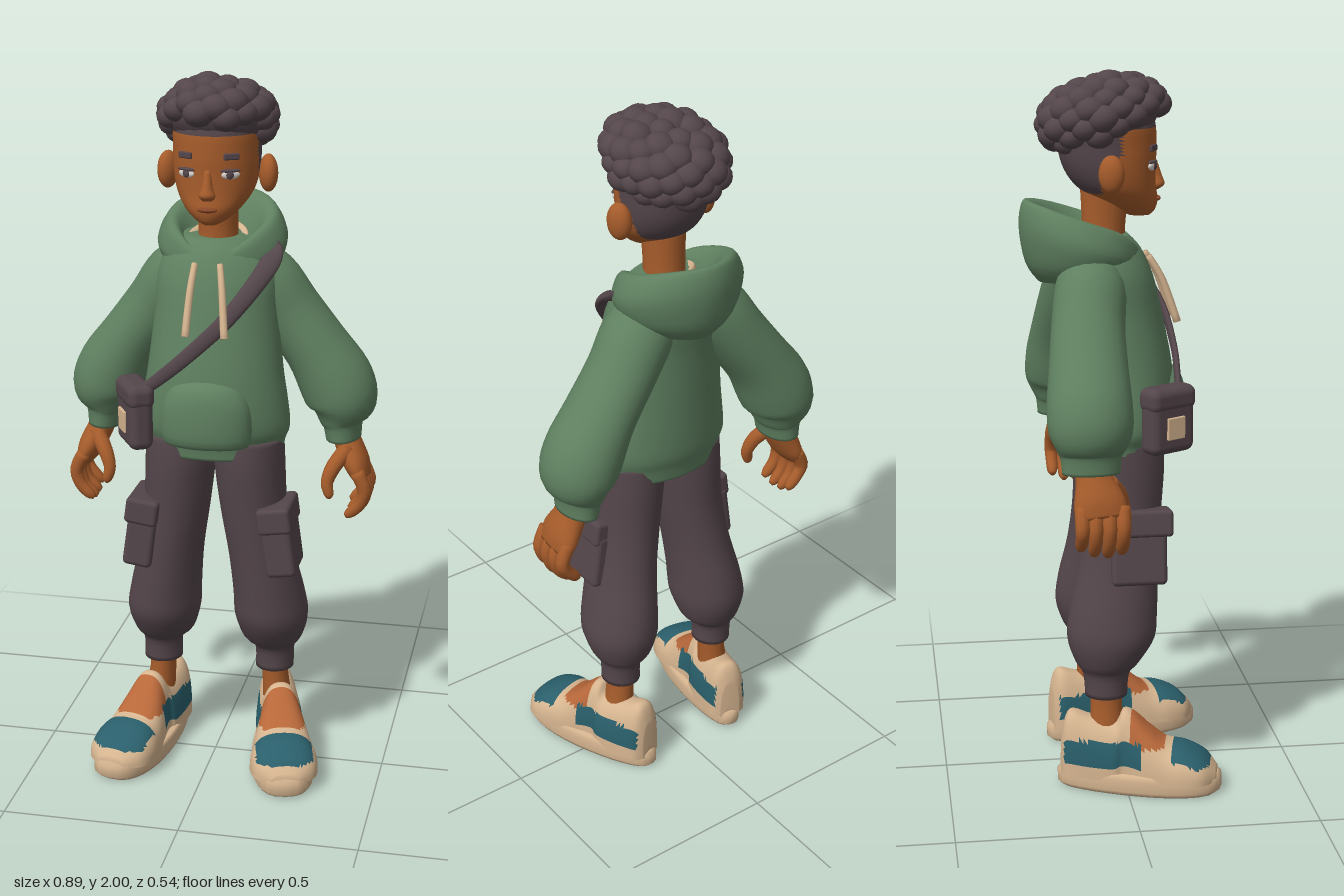
import * as THREE from 'three';
import { mergeGeometries } from 'three/addons/utils/BufferGeometryUtils.js';
import { RoundedBoxGeometry } from 'three/addons/geometries/RoundedBoxGeometry.js';

const V = (x, y, z) => new THREE.Vector3(x, y, z);

// Catmull-Rom through rows of numbers, n steps per span
function spline(rows, n) {
  const out = [], last = rows.length - 1;
  for (let k = 0; k <= last * n; k++) {
    const i = Math.min(Math.floor(k / n), last - 1), t = k / n - i;
    const at = (d) => rows[Math.max(0, Math.min(last, i + d))];
    out.push(rows[0].map((_, c) => {
      const [a, b, d, e] = [at(-1)[c], at(0)[c], at(1)[c], at(2)[c]];
      return b + 0.5 * t * (d - a + t * (2 * a - 5 * b + 4 * d - e + t * (3 * (b - d) + e - a)));
    }));
  }
  return out;
}

// Surface through closed rings of points, counter-clockwise about the travel direction
function skin(rings, caps = true) {
  const pos = [], idx = [], n = rings[0].length;
  rings.forEach((r) => r.forEach((p) => pos.push(p.x, p.y, p.z)));
  for (let i = 0; i < rings.length - 1; i++) for (let j = 0; j < n; j++) {
    const a = i * n + j, b = i * n + (j + 1) % n;
    idx.push(a, b, a + n, b, b + n, a + n);
  }
  if (caps) [0, rings.length - 1].forEach((i) => {
    const c = V(0, 0, 0), m = pos.length / 3;
    rings[i].forEach((p) => c.addScaledVector(p, 1 / n));
    pos.push(c.x, c.y, c.z);
    for (let j = 0; j < n; j++) {
      const a = i * n + j, b = i * n + (j + 1) % n;
      if (i) idx.push(m, a, b); else idx.push(m, b, a);
    }
  });
  const g = new THREE.BufferGeometry();
  g.setAttribute('position', new THREE.Float32BufferAttribute(pos, 3));
  g.setIndex(idx);
  g.computeVertexNormals();
  return g;
}

const loop = (n, f) => Array.from({ length: n }, (_, j) => f(j / n * Math.PI * 2));

// Elliptic tube; rows are [x, y, z, radiusU, radiusV]; level keeps the rings horizontal
function tube(rows, { seg = 20, n = 4, level = false } = {}) {
  const s = spline(rows, n);
  return skin(s.map((r, i) => {
    const p = s[Math.max(0, i - 1)], q = s[Math.min(s.length - 1, i + 1)];
    const t = level ? V(0, 1, 0) : V(q[0] - p[0], q[1] - p[1], q[2] - p[2]).normalize();
    const u = V(0, 0, 1).cross(t).normalize(), v = t.clone().cross(u);
    return loop(seg, (a) => V(r[0], r[1], r[2])
      .addScaledVector(u, r[3] * Math.cos(a)).addScaledVector(v, r[4] * Math.sin(a)));
  }));
}

// Sort triangles into material groups by a rule on their centre
function paint(g, rule) {
  const bins = [], p = g.attributes.position, ix = g.index.array;
  for (let i = 0; i < ix.length; i += 3) {
    const c = V(0, 0, 0), t = [ix[i], ix[i + 1], ix[i + 2]];
    t.forEach((k) => c.add(V(p.getX(k), p.getY(k), p.getZ(k)).divideScalar(3)));
    (bins[rule(c)] ??= []).push(...t);
  }
  const all = [];
  bins.forEach((b, m) => { g.addGroup(all.length, b.length, m); all.push(...b); });
  g.setIndex(all);
  return g;
}

function mirror(src) {
  const g = src.clone().scale(-1, 1, 1);
  const ix = g.index ? Array.from(g.index.array) : Array.from({ length: g.attributes.position.count }, (_, i) => i);
  for (let i = 0; i < ix.length; i += 3) [ix[i], ix[i + 1]] = [ix[i + 1], ix[i]];
  g.setIndex(ix);
  return g;
}

const ball = (rx, ry, rz, x, y, z, yaw = 0) =>
  new THREE.SphereGeometry(1, 20, 14).scale(rx, ry, rz).rotateY(yaw).translate(x, y, z);
const box = (w, h, d, r) => new RoundedBoxGeometry(w, h, d, 3, r);

export function createModel() {
  const model = new THREE.Group();
  const mat = (name, color, side = THREE.FrontSide) => {
    const m = new THREE.MeshStandardMaterial({ color, side });
    m.name = name;
    return m;
  };
  const green = mat('green cloth', 0x5f8060, THREE.DoubleSide), dark = mat('dark plum', 0x54464b);
  const brown = mat('skin', 0xa65c2b), beige = mat('beige', 0xd6b590, THREE.DoubleSide);
  const teal = mat('teal', 0x2a5f6b), orange = mat('orange', 0xb8683a);
  const white = mat('eye white', 0xd8d2cc), lip = mat('lip brown', 0x8a4828);
  const add = (name, g, m) => {
    const mesh = new THREE.Mesh(g, m);
    mesh.name = name;
    model.add(mesh);
  };
  const pair = (name, g, m) => {
    add('left' + name, g, m);
    add('right' + name, mirror(g), m);
  };

  // Shoes: sole and a painted upper, turned outward
  const place = (g) => g.rotateY(0.24).translate(0.205, 0, 0.04);
  const sole = skin([[0, 0.94], [0.012, 1], [0.045, 1], [0.058, 0.94]].map(([y, k]) => loop(32, (a) => {
    const z = -0.235 * Math.sin(a), c = Math.cos(a);
    return V(k * (0.085 + 0.1 * z) * Math.sign(c) * Math.abs(c) ** 0.75, y, k * z);
  })));
  pair('Sole', place(sole), beige);
  const stations = [[-0.222, 0.03, 0.16], [-0.2, 0.055, 0.222], [-0.14, 0.066, 0.208], [-0.07, 0.07, 0.198],
    [-0.045, 0.062, 0.232], [-0.015, 0.066, 0.222], [0.03, 0.08, 0.18], [0.075, 0.09, 0.145],
    [0.13, 0.098, 0.132], [0.185, 0.085, 0.105], [0.222, 0.04, 0.065]];
  const upper = skin(spline(stations, 5).map(([z, w, h]) => loop(48, (a) => {
    const c = Math.cos(a), s = Math.max(0, Math.sin(a));
    return V(w * Math.sign(c) * Math.abs(c) ** 0.8, 0.04 + (h - 0.04) * s ** 0.75, z);
  })));
  paint(upper, (c) => {
    if (c.z > 0.095 && c.z < 0.205 && c.y > 0.085 && Math.abs(c.x) < 0.082) return 1;
    if (c.z > -0.21 && c.z < 0.01 && c.y > 0.075 && c.y < 0.15) return 1;
    return c.z > -0.02 && c.z < 0.075 && c.y > 0.135 ? 2 : 0;
  });
  pair('ShoeUpper', place(upper), [beige, teal, orange]);
  pair('Ankle', tube([[0.18, 0.14, -0.05, 0.045, 0.05], [0.17, 0.24, -0.05, 0.038, 0.045],
    [0.165, 0.32, -0.05, 0.042, 0.048]], { level: true }), brown);

  // Trousers gathered at the cuffs, with cargo pockets
  pair('TrouserLeg', tube([[0.168, 0.27, -0.05, 0.056, 0.06], [0.168, 0.335, -0.05, 0.058, 0.066],
    [0.162, 0.37, -0.045, 0.086, 0.092], [0.16, 0.44, -0.035, 0.106, 0.124], [0.152, 0.52, -0.028, 0.102, 0.125],
    [0.133, 0.64, -0.012, 0.094, 0.115], [0.112, 0.78, 0, 0.095, 0.112], [0.1, 0.92, 0.005, 0.1, 0.118],
    [0.098, 1.0, 0.005, 0.098, 0.115]], { seg: 24, level: true }), dark);
  pair('CargoPocket', box(0.085, 0.165, 0.155, 0.015).rotateZ(0.14).translate(0.2, 0.69, 0.035), dark);
  pair('PocketFlap', box(0.095, 0.075, 0.17, 0.012).rotateZ(0.14).translate(0.19, 0.78, 0.045), dark);

  // Hooded top
  add('torso', tube([[0, 0.95, 0, 0.195, 0.128], [0, 0.99, 0, 0.2, 0.135], [0, 1.03, 0.003, 0.213, 0.148],
    [0, 1.1, 0.005, 0.206, 0.155], [0, 1.2, 0, 0.19, 0.155], [0, 1.35, -0.02, 0.175, 0.145],
    [0, 1.45, -0.04, 0.172, 0.14], [0, 1.52, -0.055, 0.145, 0.122], [0, 1.56, -0.06, 0.1, 0.09]],
  { seg: 32, level: true }), green);
  add('frontPouch', tube([[0, 0.99, 0.11, 0.1, 0.04], [0, 1.01, 0.12, 0.125, 0.07], [0, 1.1, 0.125, 0.125, 0.07],
    [0, 1.16, 0.12, 0.1, 0.062], [0, 1.19, 0.115, 0.055, 0.035]], { seg: 28, level: true }), green);
  pair('Sleeve', tube([[0.06, 1.47, -0.075, 0.085, 0.085], [0.125, 1.42, -0.085, 0.098, 0.098],
    [0.19, 1.335, -0.1, 0.092, 0.1], [0.265, 1.235, -0.108, 0.092, 0.107], [0.32, 1.145, -0.112, 0.105, 0.115],
    [0.345, 1.08, -0.112, 0.1, 0.112], [0.345, 1.03, -0.112, 0.07, 0.09], [0.347, 1.01, -0.112, 0.056, 0.082],
    [0.35, 0.97, -0.112, 0.05, 0.078]], { seg: 24 }), green);
  // Hood rows: height, back tilt, centre z, radius x, radius z, front dip
  const collar = (rows) => skin(spline(rows, 4).map(([y, k, cz, rx, rz, dip]) => loop(32, (a) => {
    const s = Math.sin(a), f = Math.max(0, -s) ** 4, b = Math.max(0, s) ** 6;
    return V(rx * Math.cos(a), y + k * rz * s - dip * f, cz - rz * s - 0.012 * b);
  })), false);
  add('hood', collar([[1.45, -0.15, -0.075, 0.13, 0.13, 0], [1.48, 0.02, -0.09, 0.165, 0.15, 0],
    [1.54, 0.25, -0.095, 0.183, 0.162, 0.03], [1.595, 0.33, -0.09, 0.16, 0.158, 0.04],
    [1.605, 0.33, -0.085, 0.135, 0.142, 0.04], [1.58, 0.33, -0.075, 0.11, 0.12, 0.04],
    [1.5, 0.2, -0.05, 0.075, 0.09, 0.02]]), green);
  add('shirtCollar', collar([[1.5, 0.3, -0.025, 0.095, 0.105, 0.02], [1.555, 0.3, -0.025, 0.085, 0.092, 0.03],
    [1.55, 0.3, -0.025, 0.07, 0.075, 0.03]]), beige);
  [[-0.04, -0.05], [0.03, 0.058]].forEach(([x0, x1], i) => add('drawstring' + (i + 1), tube([
    [x0, 1.5, 0.085, 0.009, 0.009], [(x0 + x1) / 2, 1.43, 0.125, 0.01, 0.01], [x1, 1.315, 0.165, 0.011, 0.011]],
  { seg: 8 }), beige));

  // Hands: palm, four curled fingers and a thumb
  pair('Palm', tube([[0.348, 1.0, -0.11, 0.036, 0.045], [0.365, 0.955, -0.105, 0.038, 0.052],
    [0.392, 0.9, -0.095, 0.036, 0.07], [0.41, 0.86, -0.09, 0.024, 0.068]]), brown);
  [-0.035, -0.072, -0.109, -0.144].forEach((z, i) => {
    const d = [0.008, 0, 0.004, 0.02][i];
    pair('Finger' + (i + 1), tube([[0.4, 0.89, z, 0.02, 0.02], [0.422, 0.84, z, 0.02, 0.02],
      [0.412, 0.79 + d, z, 0.018, 0.018], [0.385, 0.76 + d, z, 0.016, 0.016],
      [0.37, 0.75 + d, z, 0.008, 0.008]], { seg: 10, n: 3 }), brown);
  });
  pair('Thumb', tube([[0.37, 0.95, -0.07, 0.024, 0.024], [0.335, 0.905, -0.035, 0.022, 0.022],
    [0.318, 0.86, -0.02, 0.018, 0.018], [0.325, 0.825, -0.015, 0.014, 0.014],
    [0.33, 0.815, -0.015, 0.006, 0.006]], { seg: 10, n: 3 }), brown);

  // Neck, head with close-cropped sides, and face
  add('neck', tube([[0, 1.48, -0.04, 0.064, 0.07], [0, 1.57, -0.035, 0.055, 0.06], [0, 1.7, -0.03, 0.058, 0.07]],
    { level: true }), brown);
  const head = tube([[0, 1.608, 0.065, 0.02, 0.028], [0, 1.622, 0.055, 0.046, 0.052], [0, 1.65, 0.032, 0.077, 0.083],
    [0, 1.69, 0, 0.104, 0.11], [0, 1.74, -0.018, 0.117, 0.127], [0, 1.8, -0.025, 0.12, 0.136],
    [0, 1.87, -0.03, 0.118, 0.135], [0, 1.93, -0.03, 0.08, 0.1]], { seg: 48, n: 7, level: true });
  add('head', paint(head, (c) => (c.y > 1.85 || (c.z < 0 && c.y > 1.745) || (c.z < -0.05 && c.y > 1.675) ? 1 : 0)),
    [brown, dark]);
  pair('Ear', ball(0.026, 0.052, 0.036, 0.14, 1.735, -0.03, 0.4), brown);
  add('nose', tube([[0, 1.678, 0.105, 0.014, 0.012], [0, 1.692, 0.112, 0.023, 0.023], [0, 1.715, 0.11, 0.015, 0.018],
    [0, 1.76, 0.1, 0.01, 0.012]], { level: true }), brown);
  add('mouth', ball(0.028, 0.008, 0.012, 0, 1.654, 0.112), lip);
  pair('EyeWhite', ball(0.026, 0.012, 0.008, 0.06, 1.748, 0.092, 0.5), white);
  pair('Iris', ball(0.011, 0.011, 0.005, 0.06, 1.748, 0.099, 0.5), dark);
  pair('EyeLash', ball(0.029, 0.005, 0.009, 0.06, 1.759, 0.093, 0.5), dark);
  pair('Eyebrow', box(0.044, 0.018, 0.009, 0.004).rotateY(0.5).translate(0.063, 1.797, 0.094), dark);

  // Curly hair: clumps spread over a tilted dome
  let seed = 7;
  const rand = () => (seed = (seed * 16807) % 2147483647) / 2147483647;
  const clumps = [];
  for (let i = 0; i < 80; i++) {
    const y = 1 - 2 * (i + 0.5) / 80, r = Math.sqrt(1 - y * y), a = i * 2.39996;
    const d = V(r * Math.cos(a), y, r * Math.sin(a));
    if (d.y < (d.z > 0.2 ? -0.2 : -0.6)) continue;
    const s = 0.036 + 0.01 * rand();
    clumps.push(new THREE.IcosahedronGeometry(s, 2).scale(1, 0.85, 1)
      .translate(d.x * 0.132, d.y * 0.083, d.z * 0.15));
  }
  const tilt = (g) => g.rotateX(-0.2).rotateX(0.38).rotateX(-0.38).translate(0, 1.882, -0.037);
  add('hairClumps', tilt(mergeGeometries(clumps)), dark);
  add('hairDome', tilt(ball(0.142, 0.092, 0.158, 0, 0, 0)), dark);

  // Cross-body bag with strap and tag
  const hang = (g) => g.rotateY(-1.04).translate(-0.205, 1.075, 0.115);
  add('bag', hang(box(0.15, 0.185, 0.07, 0.025)), dark);
  add('bagFlap', hang(box(0.156, 0.07, 0.078, 0.025).translate(0, 0.06, 0)), dark);
  add('bagTag', hang(box(0.06, 0.062, 0.009, 0.003).translate(0, -0.018, 0.037)), beige);
  add('strap', tube([[-0.175, 1.15, 0.15, 0.016, 0.009], [-0.13, 1.185, 0.153, 0.018, 0.009],
    [-0.06, 1.245, 0.155, 0.02, 0.009], [0.04, 1.34, 0.138, 0.022, 0.01], [0.11, 1.425, 0.088, 0.025, 0.012],
    [0.155, 1.495, 0.025, 0.028, 0.012], [0.155, 1.522, -0.04, 0.028, 0.012], [0.14, 1.51, -0.09, 0.024, 0.01]],
  { seg: 14 }), dark);

  return model;
}
